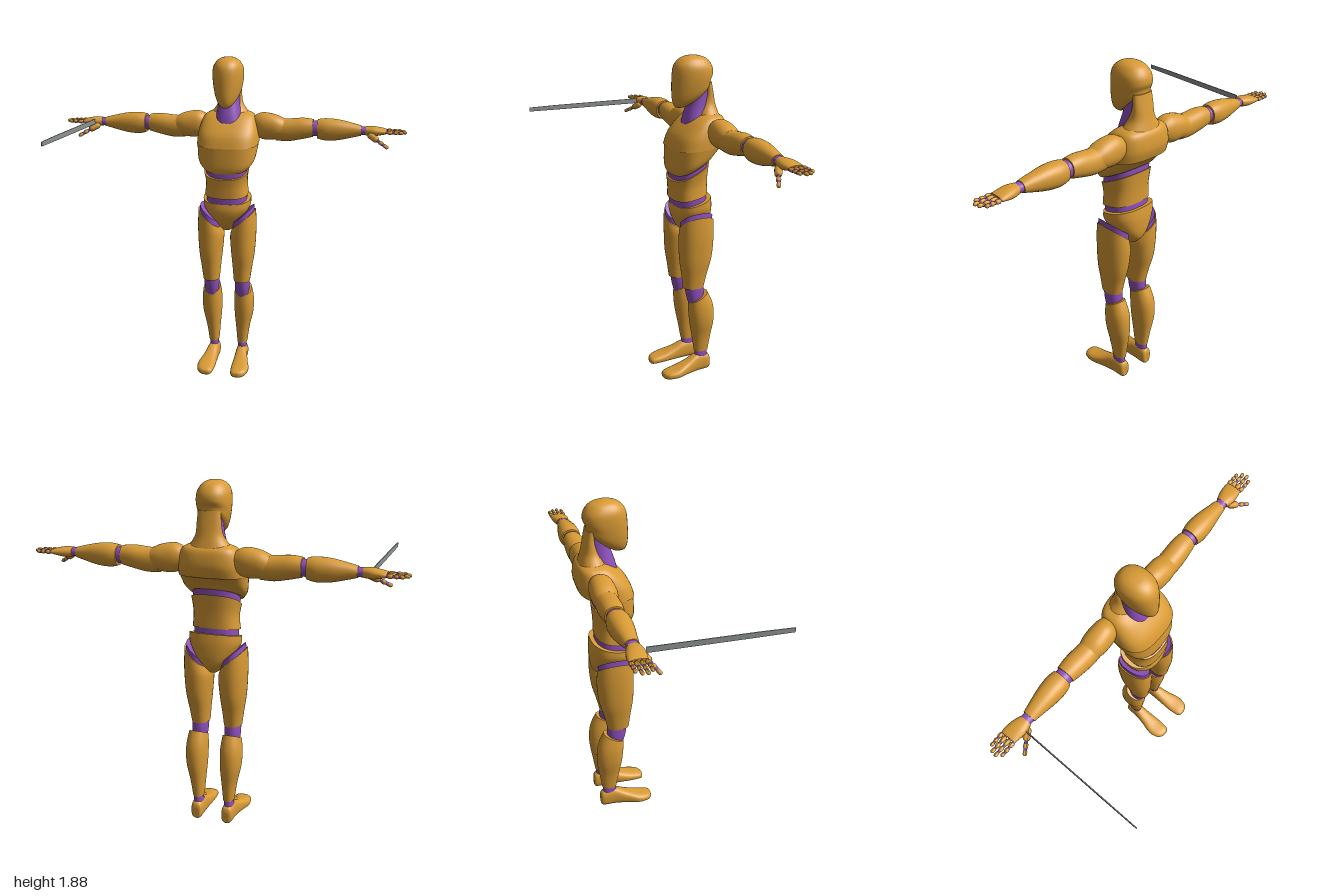
import * as THREE from 'three';

const mat = (name, color) => Object.assign(new THREE.MeshStandardMaterial({ color }), { name });
const shell = mat('ochre shell', 0xd99b35);
const joint = mat('purple joint', 0x8e50bd);
const steel = mat('grey steel', 0x8e9294);

// Turn every triangle outward, judged by the signed volume
function orient(geo) {
  const p = geo.attributes.position, ix = geo.index.array;
  const a = new THREE.Vector3(), b = new THREE.Vector3(), c = new THREE.Vector3();
  let vol = 0;
  for (let i = 0; i < ix.length; i += 3) {
    a.fromBufferAttribute(p, ix[i]);
    b.fromBufferAttribute(p, ix[i + 1]);
    c.fromBufferAttribute(p, ix[i + 2]);
    vol += a.dot(b.cross(c));
  }
  if (vol < 0) for (let i = 0; i < ix.length; i += 3) [ix[i], ix[i + 1]] = [ix[i + 1], ix[i]];
  geo.computeVertexNormals();
  return geo;
}

// Smooth loft of rounded sections along an axis.
// Section: [along, u, v, half u, half v, tilt over v, tilt over u, narrowing toward +v]
const place = {
  x: (w, u, v) => [w, u, v],
  y: (w, u, v) => [u, w, v],
  z: (w, u, v) => [u, v, w],
};
function loft(axis, sections, power = 2.2, sides = 32, steps = 5) {
  const full = sections.map(s => [...s, 0, 0, 0].slice(0, 8));
  const rings = [];
  for (let i = 0; i < full.length - 1; i++) {
    const [p0, p1, p2, p3] = [full[Math.max(i - 1, 0)], full[i], full[i + 1], full[Math.min(i + 2, full.length - 1)]];
    for (let k = 0; k < steps; k++) {
      const t = k / steps;
      rings.push(p1.map((b, j) => {
        const a = p0[j], c = p2[j], d = p3[j];
        return b + 0.5 * t * (c - a + t * (2 * a - 5 * b + 4 * c - d + t * (3 * (b - c) + d - a)));
      }));
    }
  }
  rings.push(full[full.length - 1]);
  const pos = [], idx = [];
  const addRing = ([w, u, v, a, b, tv, tu, egg]) => {
    for (let j = 0; j < sides; j++) {
      const t = j / sides * Math.PI * 2, c = Math.cos(t), s = Math.sin(t);
      const sv = Math.sign(s) * Math.abs(s) ** (2 / power);
      const du = a * Math.sign(c) * Math.abs(c) ** (2 / power) * (1 - egg * sv), dv = b * sv;
      pos.push(...place[axis](w + tv * dv + tu * du, u + du, v + dv));
    }
  };
  rings.forEach(addRing);
  for (let i = 0; i < rings.length - 1; i++) for (let j = 0; j < sides; j++) {
    const a = i * sides + j, b = i * sides + (j + 1) % sides;
    idx.push(a, b, a + sides, b, b + sides, a + sides);
  }
  [rings[0], rings[rings.length - 1]].forEach((r, end) => {
    const base = pos.length / 3;
    addRing(r);
    pos.push(...place[axis](r[0], r[1], r[2]));
    for (let j = 0; j < sides; j++) {
      const a = base + j, b = base + (j + 1) % sides;
      idx.push(base + sides, ...(end ? [a, b] : [b, a]));
    }
  });
  const geo = new THREE.BufferGeometry();
  geo.setAttribute('position', new THREE.Float32BufferAttribute(pos, 3));
  geo.setIndex(idx);
  return orient(geo);
}

// Rounded rod between two points
function rod(p, q, r) {
  const a = new THREE.Vector3(...p), d = new THREE.Vector3(...q).sub(a), len = d.length();
  const geo = new THREE.CapsuleGeometry(r, Math.max(len - 2 * r, 0.001), 4, 10);
  geo.applyQuaternion(new THREE.Quaternion().setFromUnitVectors(new THREE.Vector3(0, 1, 0), d.clone().normalize()));
  geo.translate(...a.addScaledVector(d, 0.5).toArray());
  return geo;
}

export function createModel() {
  const model = new THREE.Group();
  model.name = 'jointedFigure';
  const add = (name, geo, material) => {
    const m = new THREE.Mesh(geo, material);
    m.name = name;
    model.add(m);
  };
  // Part on the left side with its mirrored twin
  const pair = (name, geo, material) => {
    add('left' + name, geo, material);
    add('right' + name, orient(geo.clone().scale(-1, 1, 1)), material);
  };

  // Head and neck
  add('head', loft('y', [
    [1.655, 0, -0.262, 0.052, 0.07, -0.72, 0, 0.3], [1.675, 0, -0.25, 0.068, 0.1, -0.62, 0, 0.28],
    [1.71, 0, -0.244, 0.078, 0.109, -0.45, 0, 0.2], [1.77, 0, -0.25, 0.086, 0.115, -0.15, 0, 0.1],
    [1.825, 0, -0.252, 0.083, 0.108, 0, 0, 0.05], [1.862, 0, -0.252, 0.062, 0.08],
    [1.879, 0, -0.25, 0.034, 0.042], [1.883, 0, -0.25, 0.008, 0.01]]), shell);
  add('neck', loft('y', [
    [1.5, 0, -0.27, 0.085, 0.075], [1.56, 0, -0.275, 0.07, 0.068],
    [1.64, 0, -0.29, 0.06, 0.058], [1.73, 0, -0.3, 0.058, 0.045]]), joint);
  add('napeAndTrapezius', loft('y', [
    [1.48, 0, -0.335, 0.15, 0.08], [1.54, 0, -0.33, 0.13, 0.075], [1.575, 0, -0.33, 0.1, 0.065],
    [1.62, 0, -0.334, 0.072, 0.048], [1.68, 0, -0.338, 0.064, 0.03], [1.74, 0, -0.33, 0.06, 0.025]]), shell);

  // Torso
  add('chest', loft('y', [
    [1.4, 0, -0.265, 0.176, 0.145, -0.1], [1.46, 0, -0.284, 0.172, 0.139, -0.05],
    [1.52, 0, -0.31, 0.158, 0.108], [1.555, 0, -0.325, 0.138, 0.08], [1.572, 0, -0.33, 0.105, 0.05]], 2.9, 40), shell);
  add('ribcage', loft('y', [
    [1.29, 0, -0.232, 0.138, 0.104, -0.5], [1.325, 0, -0.24, 0.164, 0.12, -0.4],
    [1.4, 0, -0.265, 0.175, 0.143, -0.1]], 2.6, 40), shell);
  add('midriffJoint', loft('y', [
    [1.22, 0, -0.232, 0.12, 0.098, -0.5], [1.32, 0, -0.232, 0.126, 0.098, -0.5]], 2.5), joint);
  add('abdomen', loft('y', [
    [1.11, 0, -0.232, 0.126, 0.098, -0.2], [1.185, 0, -0.231, 0.119, 0.1, -0.3],
    [1.258, 0, -0.232, 0.13, 0.106, -0.5]], 2.6), shell);
  add('waistJoint', loft('y', [
    [1.02, 0, -0.24, 0.118, 0.092, -0.2], [1.13, 0, -0.235, 0.117, 0.09, -0.2]], 2.5), joint);
  add('pelvis', loft('y', [
    [0.882, 0, -0.265, 0.026, 0.05], [0.92, 0, -0.262, 0.055, 0.088], [0.97, 0, -0.256, 0.1, 0.106],
    [1.03, 0, -0.252, 0.135, 0.11, -0.15], [1.08, 0, -0.25, 0.14, 0.104, -0.25]], 2.4), shell);

  // Legs
  pair('HipJoint', loft('y', [
    [0.92, 0.1, -0.242, 0.062, 0.096, 0, 0.85], [0.985, 0.098, -0.243, 0.06, 0.095, 0, 0.85]]), joint);
  pair('Thigh', loft('y', [
    [0.57, 0.093, -0.235, 0.048, 0.062], [0.65, 0.095, -0.238, 0.057, 0.076],
    [0.75, 0.097, -0.243, 0.069, 0.096], [0.87, 0.097, -0.245, 0.076, 0.103, 0, 0.3],
    [0.955, 0.101, -0.243, 0.068, 0.1, 0, 0.85]]), shell);
  pair('Knee', loft('y', [
    [0.45, 0.095, -0.25, 0.034, 0.036], [0.52, 0.094, -0.246, 0.043, 0.053], [0.6, 0.093, -0.238, 0.044, 0.056]]), joint);
  pair('Shin', loft('y', [
    [0.14, 0.089, -0.297, 0.03, 0.043], [0.24, 0.092, -0.295, 0.041, 0.059],
    [0.34, 0.098, -0.292, 0.056, 0.074], [0.43, 0.099, -0.284, 0.059, 0.074, -0.2],
    [0.505, 0.097, -0.264, 0.051, 0.056, -0.5]]), shell);
  pair('Ankle', loft('y', [[0.08, 0.089, -0.297, 0.027, 0.04], [0.16, 0.089, -0.297, 0.025, 0.038]]), joint);
  pair('Foot', loft('z', [
    [-0.352, 0.088, 0.05, 0.018, 0.03], [-0.338, 0.089, 0.058, 0.031, 0.05], [-0.27, 0.09, 0.062, 0.035, 0.056],
    [-0.2, 0.096, 0.047, 0.043, 0.041], [-0.13, 0.104, 0.035, 0.053, 0.029],
    [-0.075, 0.102, 0.029, 0.047, 0.023], [-0.052, 0.096, 0.025, 0.033, 0.018],
    [-0.044, 0.094, 0.023, 0.015, 0.01]], 2.6), shell);

  // Arms
  pair('Shoulder', loft('x', [
    [0.13, 1.495, -0.33, 0.045, 0.045], [0.17, 1.493, -0.326, 0.07, 0.06], [0.21, 1.49, -0.325, 0.077, 0.066],
    [0.27, 1.486, -0.325, 0.069, 0.066], [0.315, 1.481, -0.326, 0.054, 0.056]]), shell);
  pair('UpperArm', loft('x', [
    [0.27, 1.472, -0.326, 0.062, 0.058], [0.34, 1.472, -0.327, 0.064, 0.06],
    [0.42, 1.483, -0.329, 0.06, 0.058], [0.48, 1.487, -0.33, 0.05, 0.05]]), shell);
  pair('Elbow', loft('x', [[0.45, 1.486, -0.33, 0.043, 0.044], [0.54, 1.485, -0.33, 0.043, 0.044]]), joint);
  pair('Forearm', loft('x', [
    [0.505, 1.484, -0.33, 0.054, 0.052], [0.55, 1.482, -0.33, 0.062, 0.06], [0.62, 1.482, -0.329, 0.058, 0.056],
    [0.7, 1.483, -0.327, 0.041, 0.043], [0.75, 1.483, -0.325, 0.028, 0.035]]), shell);
  pair('Wrist', loft('x', [[0.73, 1.483, -0.325, 0.024, 0.03], [0.8, 1.483, -0.325, 0.024, 0.03]]), joint);

  // Hands: palm, four jointed fingers and a thumb
  pair('Palm', loft('x', [
    [0.775, 1.483, -0.325, 0.025, 0.034], [0.82, 1.482, -0.328, 0.027, 0.046],
    [0.87, 1.482, -0.333, 0.018, 0.046], [0.89, 1.482, -0.333, 0.012, 0.043]]), shell);
  [[-0.296, 0.98], [-0.321, 1], [-0.346, 0.995], [-0.37, 0.972]].forEach(([z, tip], i) => {
    const x0 = 0.882, len = tip - x0, n = 'Finger' + (i + 1);
    pair(n + 'Joints', rod([x0 - 0.01, 1.482, z], [tip - 0.015, 1.48, z], 0.0075), joint);
    [[0.08, 0.42, 0.0115], [0.45, 0.72, 0.0105], [0.74, 1, 0.0095]].forEach(([a, b, r], k) =>
      pair(n + 'Segment' + (k + 1), rod([x0 + a * len, 1.482, z], [x0 + b * len, 1.481, z], r), shell));
  });
  const root = new THREE.Vector3(0.79, 1.47, -0.3), end = new THREE.Vector3(0.902, 1.405, -0.235);
  const at = t => root.clone().lerp(end, t).toArray();
  pair('ThumbJoints', rod(at(0.2), at(0.92), 0.009), joint);
  [[0, 0.5, 0.019], [0.54, 0.76, 0.012], [0.78, 1, 0.0105]].forEach(([a, b, r], k) =>
    pair('ThumbSegment' + (k + 1), rod(at(a), at(b), r), shell));

  // Thin blade pointing forward from the right hand
  const blade = loft('z', [
    [-0.28, -0.815, 1.486, 0.003, 0.015], [0.25, -0.834, 1.486, 0.003, 0.014],
    [0.42, -0.84, 1.485, 0.0025, 0.012]], 8, 24, 1);
  add('blade', blade, steel);
  return model;
}
